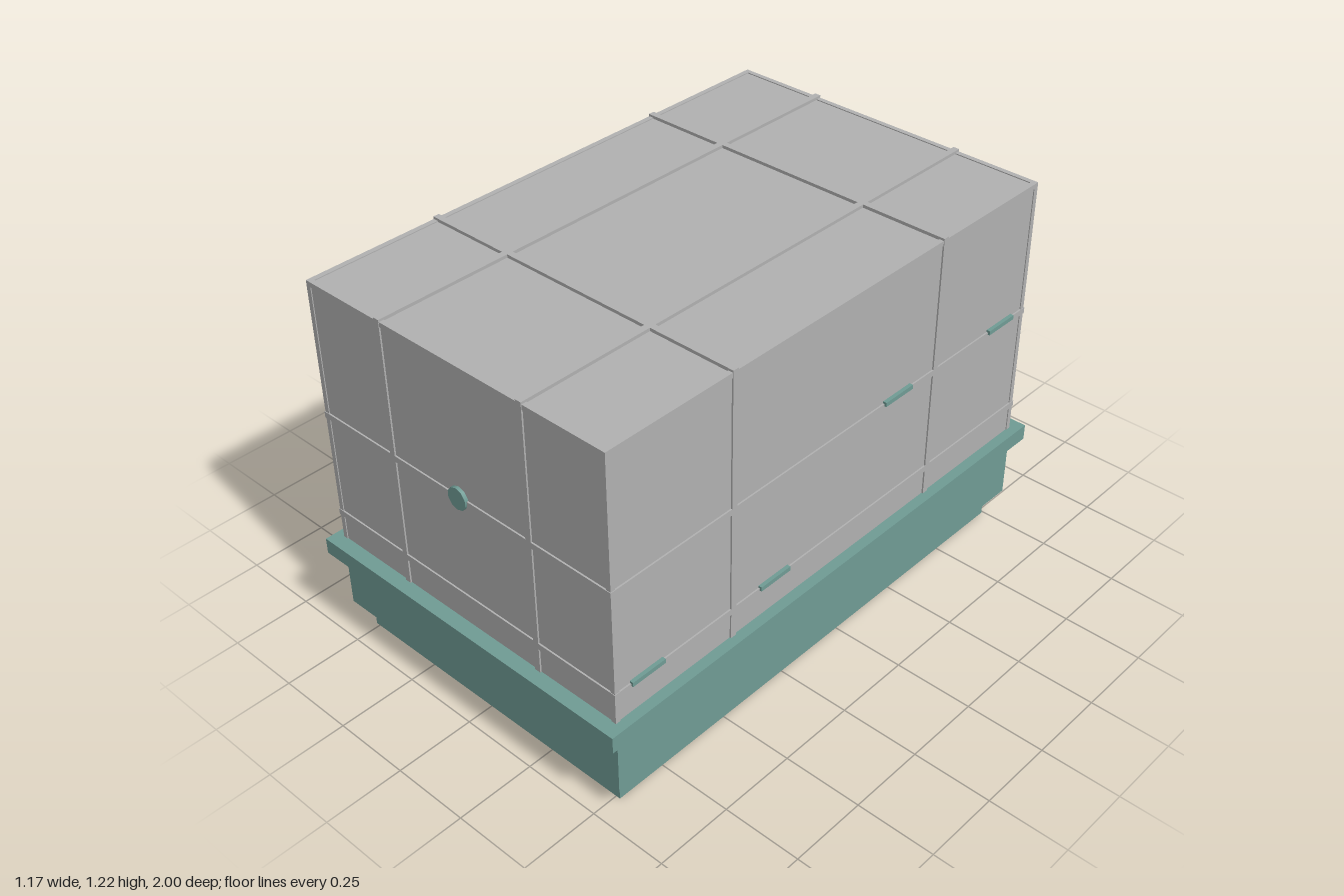
import * as THREE from 'three';

const teal = new THREE.MeshStandardMaterial({ color: 0x709c95 });
teal.name = 'teal metal';
const grey = new THREE.MeshStandardMaterial({ color: 0xb2b2b2 });
grey.name = 'grey panel';
const blue = new THREE.MeshStandardMaterial({ color: 0xaecfd8 });
blue.name = 'pale blue tank';

const MID = 0.086; // centre of the crate along z

// Rectangular loft: each section is [y, half width, half depth]
function loftGeometry(sections) {
  const rings = sections.map(([y, w, d]) => [[-w, y, d], [w, y, d], [w, y, -d], [-w, y, -d]]);
  const pos = [];
  const quad = (a, b, c, d) => pos.push(...a, ...b, ...c, ...a, ...c, ...d);
  for (let i = 0; i < rings.length - 1; i++) {
    for (let k = 0; k < 4; k++) {
      const n = (k + 1) % 4;
      quad(rings[i][k], rings[i][n], rings[i + 1][n], rings[i + 1][k]);
    }
  }
  quad(...rings[rings.length - 1]);
  quad(...[...rings[0]].reverse());
  const g = new THREE.BufferGeometry();
  g.setAttribute('position', new THREE.Float32BufferAttribute(pos, 3));
  g.computeVertexNormals();
  return g;
}

export function createModel() {
  const group = new THREE.Group();
  const add = (name, geometry, material, x = 0, y = 0, z = 0) => {
    const mesh = new THREE.Mesh(geometry, material);
    mesh.name = name;
    mesh.position.set(x, y, z);
    group.add(mesh);
    return mesh;
  };
  const box = (name, material, w, h, d, x, y, z) =>
    add(name, new THREE.BoxGeometry(w, h, d), material, x, y, z);

  // Stepped base with bevels and an overhanging rim
  add('base', loftGeometry([
    [0, 0.514, 0.829], [0.045, 0.514, 0.829], [0.09, 0.557, 0.871],
    [0.26, 0.557, 0.871], [0.288, 0.585, 0.914], [0.34, 0.585, 0.914],
  ]), teal, 0, 0, MID);

  // Crate body
  const W = 0.552, D = 0.868, LOW = 0.33, TOP = 1.205;
  const H = TOP - LOW, CY = (TOP + LOW) / 2;
  box('crate', grey, 2 * W, H, 2 * D, 0, CY, MID);

  // Ribs: slightly oversized slabs that wrap round the crate
  const P = 0.005, RIB = 0.02;
  for (const x of [-0.265, 0.265]) {
    box('lengthRib', grey, RIB, H + 2 * P, 2 * (D + P), x, CY + P, MID);
  }
  for (const z of [-0.345, 0.51]) {
    box('crossRib', grey, 2 * (W + P), H + 2 * P, RIB, 0, CY + P, z);
  }
  for (const y of [0.433, 0.775]) {
    box('levelRib', grey, 2 * (W + P), RIB, 2 * (D + P), 0, y, MID);
  }

  // Edge trims
  const T = 0.016, E = 0.003;
  for (const s of [-1, 1]) {
    const x = s * (W + E - T / 2), z = MID + s * (D + E - T / 2);
    const y = TOP + E - T / 2;
    box('sideTopTrim', grey, T, T, 2 * (D + E), x, y, MID);
    box('endTopTrim', grey, 2 * (W + E), T, T, 0, y, z);
    for (const t of [-1, 1]) {
      box('cornerTrim', grey, T, H, T, x, CY, MID + t * (D + E - T / 2));
    }
    // Latches on both sides
    for (const [ly, lz] of [[0.785, -0.17], [0.785, -0.66], [0.443, 0.345], [0.443, 0.84]]) {
      box('latch', teal, 0.016, 0.014, 0.12, s * 0.556, ly, lz);
    }
  }

  // Front knob
  const knob = add('frontKnob', new THREE.CylinderGeometry(0.035, 0.035, 0.016, 10), teal, 0, 0.78, 0.957);
  knob.rotation.x = Math.PI / 2;

  // Tank at the back
  const TX = 0.21, TZ = -0.888;
  const lathe = (name, points, material) =>
    add(name, new THREE.LatheGeometry(points.map(([r, y]) => new THREE.Vector2(r, y)), 32), material, TX, 0, TZ);
  add('tank', new THREE.CylinderGeometry(0.089, 0.089, 0.41, 32, 1, true), blue, TX, 0.67, TZ);

  const arc = (r, y0, h, from, to) => Array.from({ length: 9 }, (_, i) => {
    const a = from + (to - from) * i / 8;
    return [r - h + h * Math.cos(a), y0 + h * Math.sin(a)];
  });
  lathe('tankTopCap', [[0.088, 0.872], [0.094, 0.872], ...arc(0.094, 0.886, 0.034, 0, Math.PI / 2), [0, 0.92]], teal);
  lathe('tankBottomCap', [[0, 0.4], ...arc(0.094, 0.462, 0.062, -Math.PI / 2, 0), [0.094, 0.48], [0.088, 0.48]], teal);

  // U-shaped clamp holding the tank to the wall
  const R = 0.11, r = 0.089, wall = -0.105;
  const clamp = new THREE.Shape();
  clamp.moveTo(R, wall);
  clamp.lineTo(R, 0);
  clamp.absarc(0, 0, R, 0, Math.PI, false);
  clamp.lineTo(-R, wall);
  clamp.lineTo(-r, wall);
  clamp.lineTo(-r, 0);
  clamp.absarc(0, 0, r, Math.PI, 0, true);
  clamp.lineTo(r, wall);
  clamp.closePath();
  const clampGeometry = new THREE.ExtrudeGeometry(clamp, { depth: 0.06, bevelEnabled: false, curveSegments: 24 });
  clampGeometry.rotateX(-Math.PI / 2);
  add('tankClamp', clampGeometry, teal, TX, 0.645, TZ);

  // Feed pipe from the tank into the crate
  const pipe = new THREE.LineCurve3(new THREE.Vector3(TX, 0.445, -0.86), new THREE.Vector3(TX, 0.375, -0.775));
  add('feedPipe', new THREE.TubeGeometry(pipe, 1, 0.016, 12), teal);

  return group;
}
